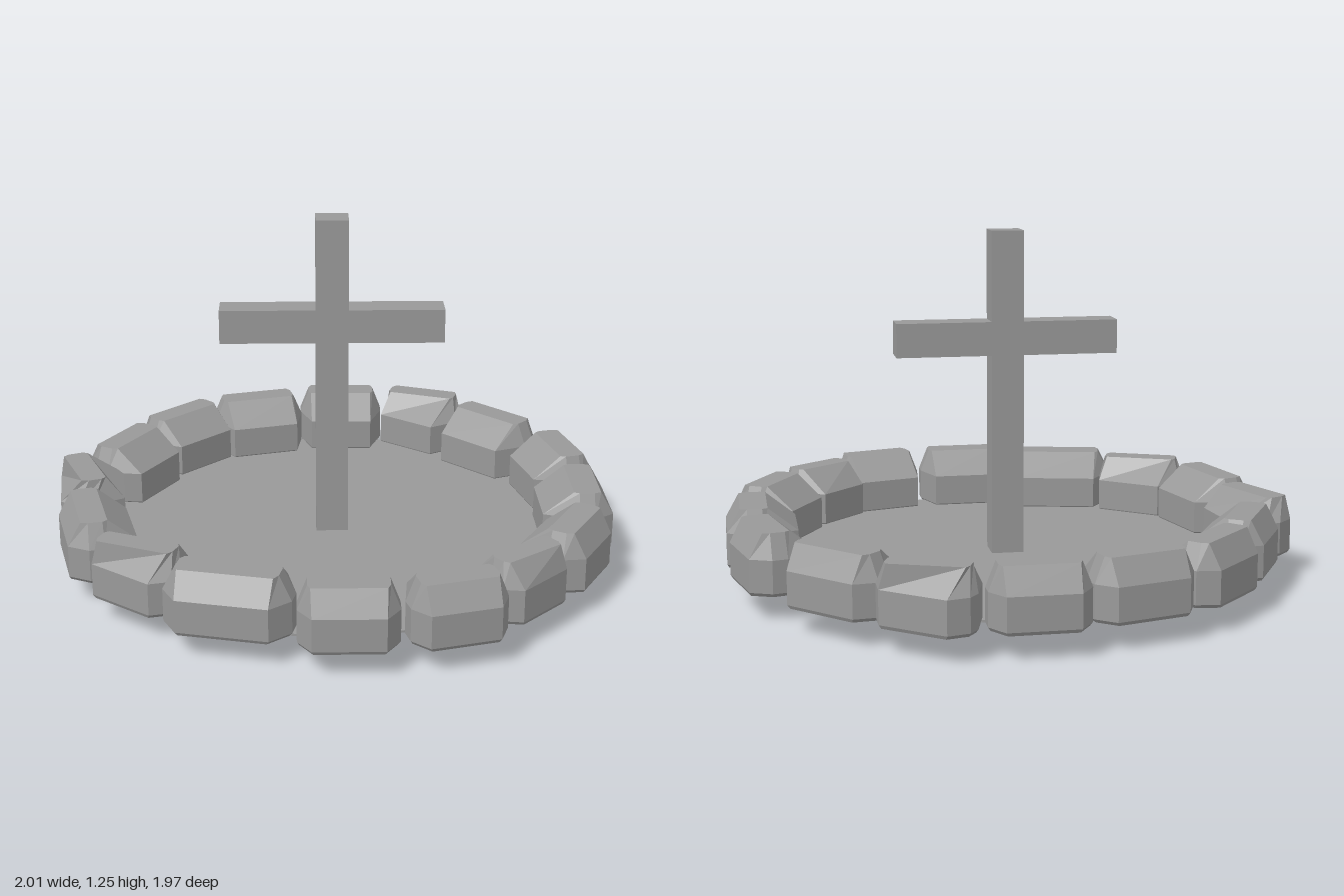
import * as THREE from 'three';

// Plan outline of a stone (u along the ring, v outward) and its narrow crest
const PLAN = [[1, 0], [1, 0.45], [0.72, 1], [-0.72, 1], [-1, 0.45], [-1, 0], [-0.72, -1], [0.72, -1]];
const CREST = [[0.8, 0], [0.8, 0.42], [0.74, 0.62], [-0.74, 0.62], [-0.8, 0.42], [-0.8, 0], [-0.74, -0.15], [0.74, -0.15]];

// x, z, length, width, plan angle in degrees, twist of the crest in degrees
const STONES = [
  [0.04, 0.855, 0.33, 0.25, 0, 0],
  [0.38, 0.815, 0.33, 0.25, -15, 0],
  [0.615, 0.64, 0.31, 0.21, -45, 8],
  [0.80, 0.40, 0.33, 0.24, -60, 0],
  [0.875, 0.07, 0.34, 0.25, -90, 0],
  [0.845, -0.27, 0.34, 0.24, 76, 0],
  [0.635, -0.59, 0.38, 0.24, 45, 0],
  [0.385, -0.83, 0.34, 0.22, 38, -18],
  [0.055, -0.867, 0.33, 0.25, 0, 0],
  [-0.28, -0.80, 0.36, 0.24, -15, 0],
  [-0.565, -0.645, 0.36, 0.23, -45, 0],
  [-0.75, -0.37, 0.35, 0.24, -60, 0],
  [-0.878, -0.085, 0.34, 0.23, 83, -15],
  [-0.82, 0.27, 0.38, 0.24, 76, 0],
  [-0.64, 0.56, 0.35, 0.22, 38, -15],
  [-0.335, 0.745, 0.43, 0.27, 13, 0],
];

// Loft a faceted stone through four outlines, closed at both ends
function stoneGeometry(length, width, twist) {
  const c = Math.cos(twist), s = Math.sin(twist);
  const ring = (plan, y, k) => plan.map(([u, v]) => [u * k * length / 2, y, v * k * width / 2]);
  const rings = [
    ring(PLAN, 0.085, 0.95),
    ring(PLAN, 0.097, 1),
    ring(PLAN, 0.21, 1),
    ring(CREST, 0.295, 1).map(([x, y, z]) => [x * c - z * s, y, x * s + z * c]),
  ];
  const pos = [];
  const tri = (...pts) => pts.forEach(p => pos.push(...p));
  const n = PLAN.length;
  for (let i = 0; i < n; i++) {
    const j = (i + 1) % n;
    for (let r = 0; r < 3; r++) {
      const lo = rings[r], hi = rings[r + 1];
      tri(lo[i], hi[i], lo[j]);
      tri(lo[j], hi[i], hi[j]);
    }
    tri([0, 0.295, 0], rings[3][j], rings[3][i]);
    tri([0, 0.085, 0], rings[0][i], rings[0][j]);
  }
  const geo = new THREE.BufferGeometry();
  geo.setAttribute('position', new THREE.Float32BufferAttribute(pos, 3));
  geo.computeVertexNormals();
  return geo;
}

export function createModel() {
  const model = new THREE.Group();
  model.name = 'graveMarker';
  const stone = new THREE.MeshStandardMaterial({ name: 'grey stone', color: 0x999999, flatShading: true });

  const add = (name, geo, x, y, z, parent = model) => {
    const mesh = new THREE.Mesh(geo, stone);
    mesh.name = name;
    mesh.position.set(x, y, z);
    parent.add(mesh);
    return mesh;
  };

  // Thin round floor
  add('groundDisc', new THREE.CylinderGeometry(0.86, 0.86, 0.008, 48), 0, 0.089, 0);

  // Cross: upright and two arms
  add('crossPost', new THREE.BoxGeometry(0.115, 1.25, 0.108), 0.003, 0.625, 0.006);
  for (const side of [-1, 1]) {
    add(side > 0 ? 'leftCrossArm' : 'rightCrossArm',
      new THREE.BoxGeometry(0.337, 0.12, 0.108), 0.003 + side * 0.226, 0.87, 0.006);
  }

  // Ring of stones, each with its +z side turned outward
  const border = new THREE.Group();
  border.name = 'stoneRing';
  model.add(border);
  for (const [x, z, length, width, deg, twist] of STONES) {
    let a = THREE.MathUtils.degToRad(deg);
    if (z * Math.cos(a) - x * Math.sin(a) < 0) a += Math.PI;
    const geo = stoneGeometry(length, width, THREE.MathUtils.degToRad(twist));
    add('borderStone', geo, x, 0, z, border).rotation.y = -a;
  }
  return model;
}
